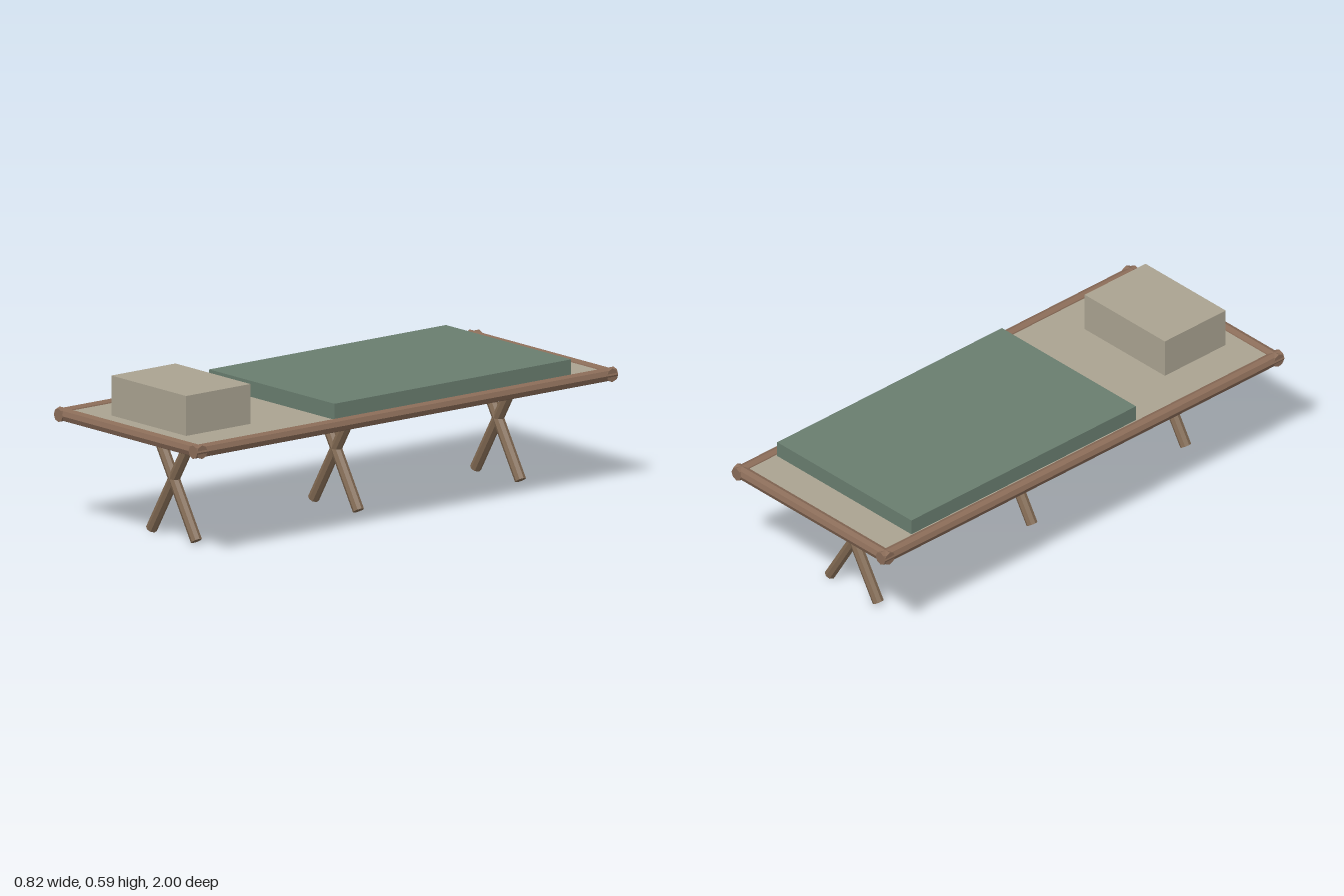
import * as THREE from 'three';

const flat = (name, color) => {
  const m = new THREE.MeshStandardMaterial({ color, flatShading: true });
  m.name = name;
  return m;
};

export function createModel() {
  const railWood = flat('railWood', 0x8a6c58);
  const legWood = flat('legWood', 0x826a53);
  const canvas = flat('canvas', 0xaaa391);
  const blanketGreen = flat('blanketGreen', 0x697d6f);

  const cot = new THREE.Group();
  cot.name = 'campCot';

  const add = (name, geometry, material, x, y, z) => {
    const mesh = new THREE.Mesh(geometry, material);
    mesh.name = name;
    mesh.position.set(x, y, z);
    cot.add(mesh);
    return mesh;
  };
  const pole = (radius, length) => new THREE.CylinderGeometry(radius, radius, length, 8);
  // Box given by its half width, bottom, top, back and front
  const slab = (name, material, halfX, y0, y1, z0, z1) =>
    add(name, new THREE.BoxGeometry(halfX * 2, y1 - y0, z1 - z0), material, 0, (y0 + y1) / 2, (z0 + z1) / 2);

  // Octagonal frame rails
  const railR = 0.0255, railY = 0.428;
  for (const s of [-1, 1]) {
    add('sideRail', pole(railR, 2), railWood, s * 0.387, railY, 0).rotation.x = Math.PI / 2;
    add('endRail', pole(railR, 0.82), railWood, 0, railY, s * 0.9745).rotation.z = Math.PI / 2;
  }

  // Stretched canvas, blanket and pillow
  slab('canvasBed', canvas, 0.38, 0.42, 0.442, -0.965, 0.965);
  slab('blanket', blanketGreen, 0.36, 0.441, 0.502, -0.82, 0.305);
  slab('pillow', canvas, 0.215, 0.441, 0.592, 0.585, 0.89);

  // Three pairs of crossed legs
  const foot = new THREE.Vector2(0.129, 0.014);
  const head = new THREE.Vector2(-0.123, 0.427);
  const length = foot.distanceTo(head);
  const tilt = Math.atan2(foot.x - head.x, head.y - foot.y);
  for (const z of [-0.77, 0, 0.77]) {
    for (const s of [-1, 1]) {
      const x = s * (foot.x + head.x) / 2;
      add('crossLeg', pole(0.0215, length), legWood, x, (foot.y + head.y) / 2, z).rotation.z = s * tilt;
    }
  }
  return cot;
}
